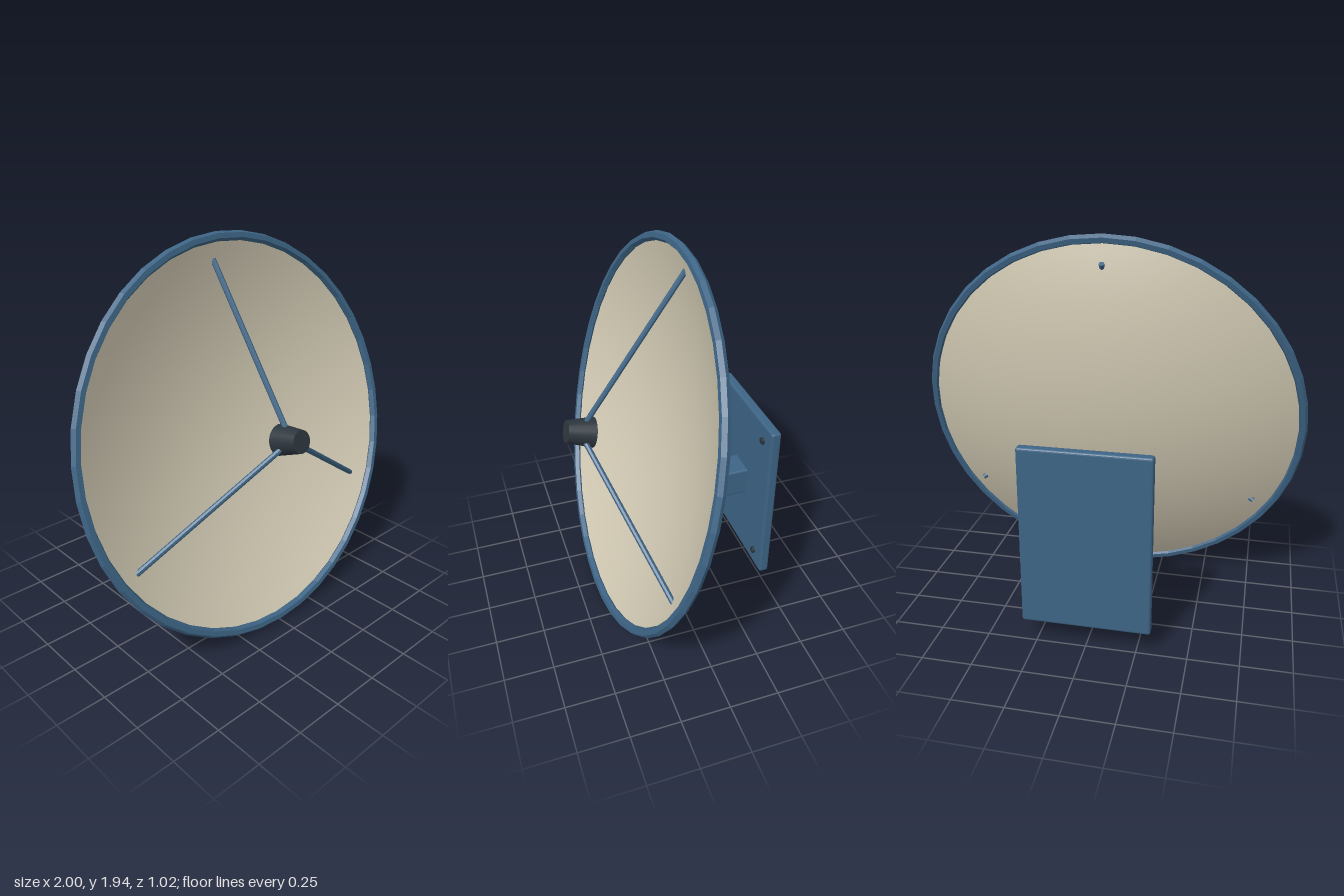
import * as THREE from 'three';
import { RoundedBoxGeometry } from 'three/addons/geometries/RoundedBoxGeometry.js';

const mat = (name, color, extra = {}) => {
  const m = new THREE.MeshStandardMaterial({ color, ...extra });
  m.name = name;
  return m;
};

export function createModel() {
  const cream = mat('cream dish', 0xd0c8b2, { side: THREE.DoubleSide });
  const blue = mat('blue metal', 0x3d6485, { flatShading: true });
  const dark = mat('dark metal', 0x2c353d);

  const model = new THREE.Group();
  model.name = 'satelliteDish';
  const add = (parent, name, geometry, material, x = 0, y = 0, z = 0) => {
    const mesh = new THREE.Mesh(geometry, material);
    mesh.name = name;
    mesh.position.set(x, y, z);
    parent.add(mesh);
    return mesh;
  };

  // Tilted head: local z is the dish axis, origin at the rim centre
  const head = new THREE.Group();
  head.name = 'dishHead';
  head.position.set(0, 0.97, 0.153);
  head.rotation.x = -0.243;
  model.add(head);

  // Parabolic reflector
  const R = 0.975, depth = 0.225;
  const bowl = (r) => depth * ((r / R) ** 2 - 1);
  const profile = [];
  for (let i = 0; i <= 16; i++) {
    const r = (R * i) / 16;
    profile.push(new THREE.Vector2(r, bowl(r)));
  }
  add(head, 'reflector', new THREE.LatheGeometry(profile, 48).rotateX(Math.PI / 2), cream);
  add(head, 'rim', new THREE.TorusGeometry(0.976, 0.024, 6, 40), blue);

  // Feed horn, wide end towards the dish
  const horn = new THREE.CylinderGeometry(0.056, 0.077, 0.137, 20).rotateX(Math.PI / 2);
  add(head, 'feedHorn', horn, dark, 0, 0, 0.288);

  // Three struts from the reflector to the feed horn
  const up = new THREE.Vector3(0, 1, 0);
  for (let i = 0; i < 3; i++) {
    const a = Math.PI / 2 + (i * Math.PI * 2) / 3;
    const at = (r, z) => new THREE.Vector3(r * Math.cos(a), r * Math.sin(a), z);
    const foot = at(0.875, bowl(0.875) - 0.008), tip = at(0.045, 0.27);
    const dir = tip.clone().sub(foot);
    const strut = add(head, 'strut', new THREE.CylinderGeometry(0.014, 0.014, dir.length(), 8), blue);
    strut.position.copy(foot).add(tip).multiplyScalar(0.5);
    strut.quaternion.setFromUnitVectors(up, dir.normalize());
  }

  // Wall mount: plate, arm and hinge block
  add(model, 'wallPlate', new RoundedBoxGeometry(0.64, 0.92, 0.052, 2, 0.012), blue, 0, 0.57, -0.48);
  add(model, 'mountArm', new RoundedBoxGeometry(0.156, 0.156, 0.5, 2, 0.012), blue, 0, 0.568, -0.226);
  add(model, 'hingeBlock', new RoundedBoxGeometry(0.224, 0.32, 0.136, 3, 0.025), dark, 0, 0.71, -0.157);

  // Plate bolts
  for (const x of [-0.23, 0.23]) {
    for (const y of [0.2, 0.94]) {
      const bolt = new THREE.CylinderGeometry(0.018, 0.018, 0.03, 10).rotateX(Math.PI / 2);
      add(model, 'bolt', bolt, dark, x, y, -0.456);
    }
  }
  return model;
}
